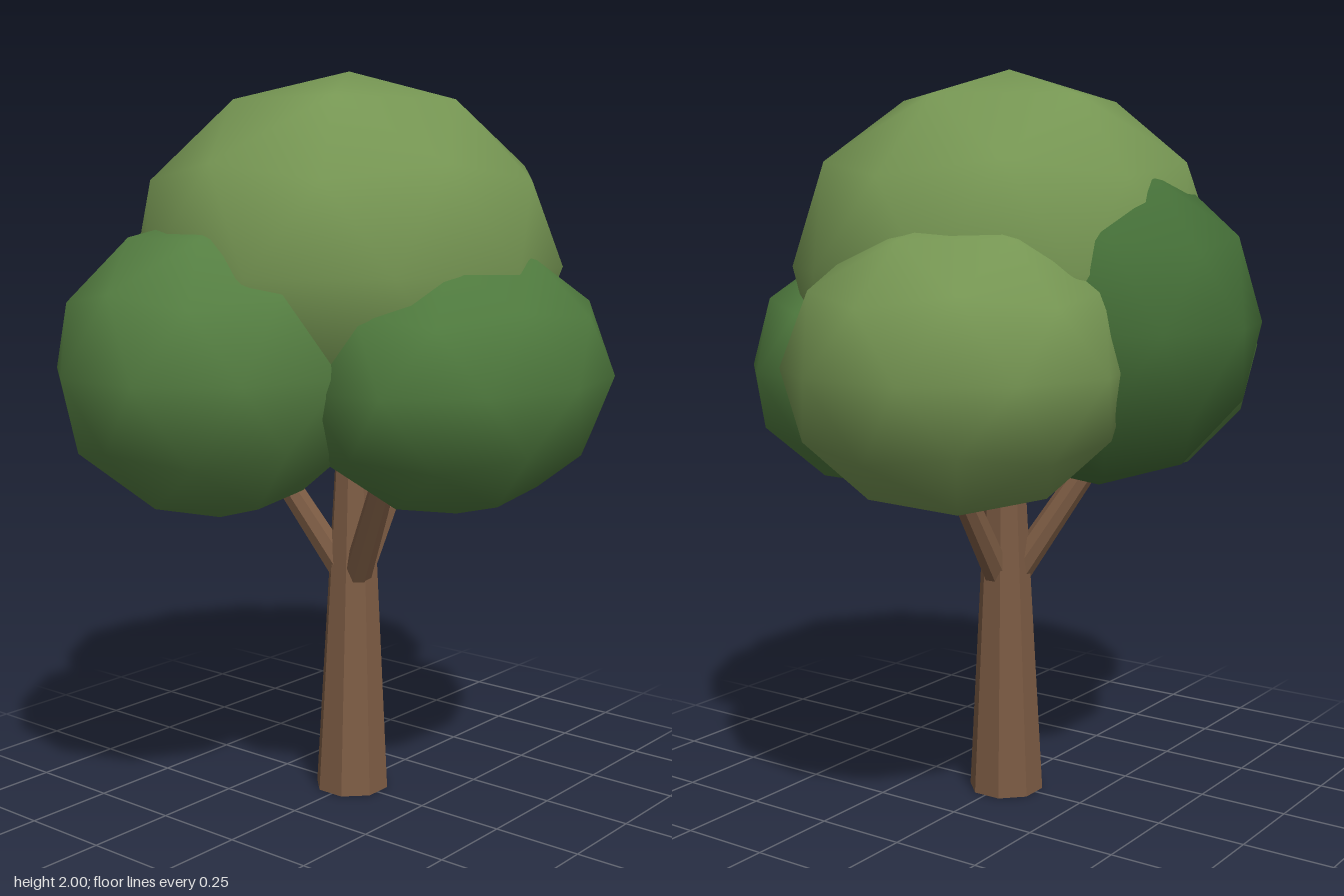
import * as THREE from 'three';

const mat = (color, flatShading = false) => new THREE.MeshStandardMaterial({ color, flatShading });

// Tapered eight-sided limb between two points
function limb(name, from, to, r0, r1, material) {
  const a = new THREE.Vector3(...from);
  const b = new THREE.Vector3(...to);
  const dir = b.clone().sub(a);
  const geo = new THREE.CylinderGeometry(r1, r0, dir.length(), 8);
  geo.rotateY(Math.PI / 8);
  const mesh = new THREE.Mesh(geo, material);
  mesh.name = name;
  mesh.position.copy(a).add(b).multiplyScalar(0.5);
  mesh.quaternion.setFromUnitVectors(new THREE.Vector3(0, 1, 0), dir.normalize());
  return mesh;
}

// Smooth-shaded, squashed icosphere with a vertex at each pole
function foliage(name, centre, radii, color) {
  const geo = new THREE.IcosahedronGeometry(1, 1);
  geo.rotateZ(-Math.atan2(1, (1 + Math.sqrt(5)) / 2));
  geo.scale(...radii);
  const mesh = new THREE.Mesh(geo, mat(color));
  mesh.name = name;
  mesh.position.set(...centre);
  return mesh;
}

export function createModel() {
  const tree = new THREE.Group();
  tree.name = 'tree';
  const bark = mat(0x7d5c44, true);

  // Trunk, leaning slightly; built upright and sheared so the base stays level
  const height = 1.2;
  const trunkGeo = new THREE.CylinderGeometry(0.04, 0.105, height, 8);
  trunkGeo.rotateY(Math.PI / 8).translate(0, height / 2, 0);
  const p = trunkGeo.attributes.position;
  for (let i = 0; i < p.count; i++) {
    const t = p.getY(i) / height;
    p.setX(i, p.getX(i) + 0.005 + 0.035 * t);
    p.setZ(i, p.getZ(i) - 0.005 - 0.02 * t);
  }
  trunkGeo.computeVertexNormals();
  const trunk = new THREE.Mesh(trunkGeo, bark);
  trunk.name = 'trunk';
  tree.add(trunk);

  // Three branches spread evenly around the trunk
  ['leftBranch', 'frontBranch', 'backBranch'].forEach((name, i) => {
    const a = (i * Math.PI * 2) / 3;
    const reach = 0.36;
    tree.add(limb(name, [0.02, 0.58, -0.01],
      [0.02 + reach * Math.cos(a), 1.13, -0.01 + reach * Math.sin(a)], 0.042, 0.028, bark));
  });

  // Crown: one large top clump over four lower ones
  tree.add(
    foliage('topFoliage', [0.005, 1.48, -0.015], [0.635, 0.52, 0.555], 0x769653),
    foliage('frontFoliage', [0.03, 1.2, 0.335], [0.505, 0.365, 0.37], 0x4f7a3e),
    foliage('rightFoliage', [-0.42, 1.235, -0.105], [0.44, 0.395, 0.405], 0x557f42),
    foliage('leftFoliage', [0.415, 1.245, -0.14], [0.44, 0.375, 0.44], 0x769653),
    foliage('backFoliage', [-0.02, 1.335, -0.29], [0.46, 0.435, 0.42], 0x446e37),
  );
  return tree;
}
